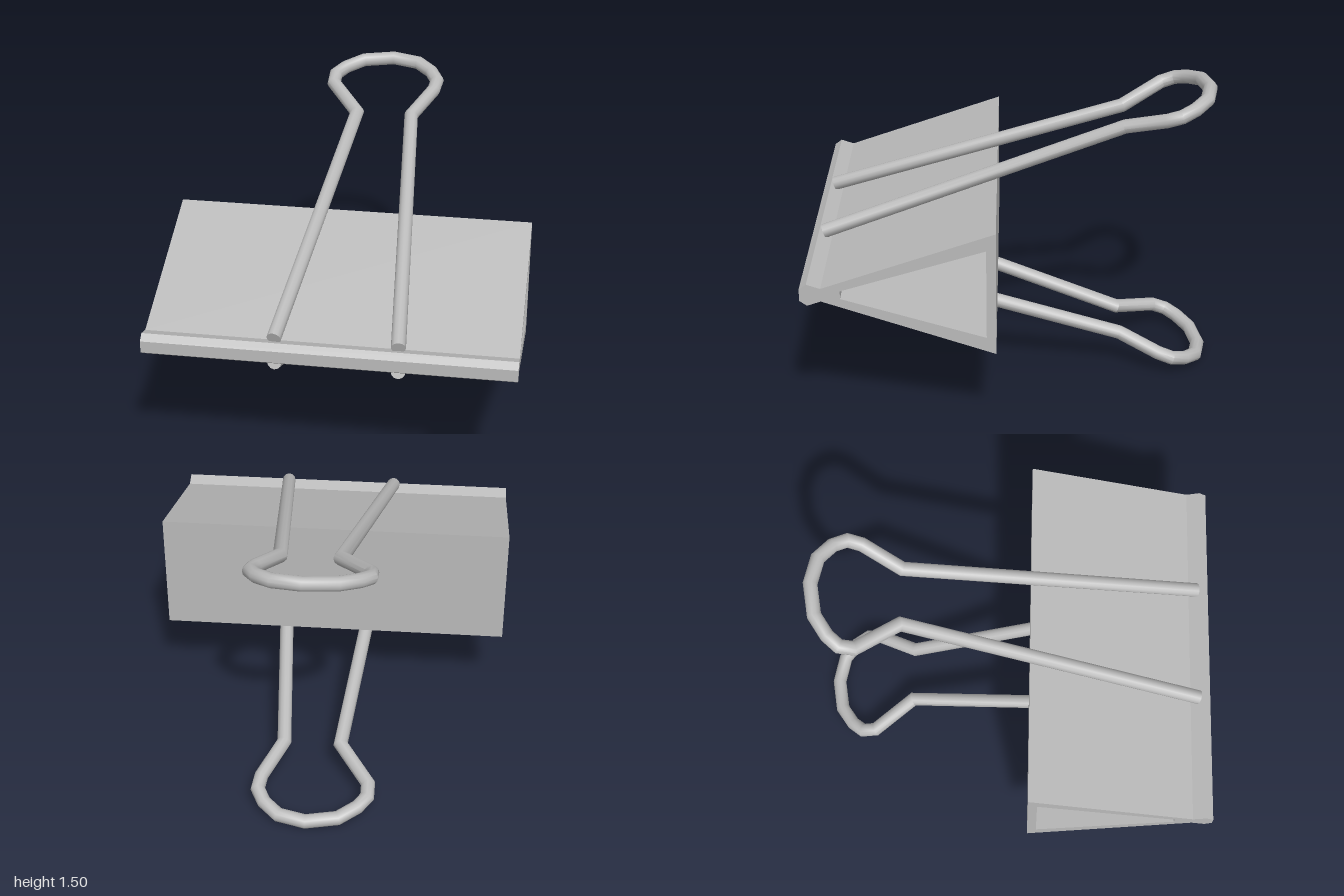
import * as THREE from 'three';
import { toCreasedNormals } from 'three/addons/utils/BufferGeometryUtils.js';

const MID = 0.747; // height of the clip's plane of symmetry
const steel = new THREE.MeshStandardMaterial({ color: 0xbababa });
steel.name = 'grey steel';

// Sweep a mitred round rod along a flat path of [x, d] points, with closed ends
function rod(points, radius, sides) {
  const pts = points.map(([x, d]) => new THREE.Vector2(x, d));
  const pos = [], index = [], last = pts.length - 1;
  pts.forEach((p, i) => {
    const a = pts[Math.max(i - 1, 0)], b = pts[Math.min(i + 1, last)];
    const tin = (i ? p.clone().sub(a) : b.clone().sub(p)).normalize();
    const tout = (i < last ? b.clone().sub(p) : tin.clone()).normalize();
    const t = tin.clone().add(tout).normalize();
    const mitre = radius / t.dot(tin);
    for (let k = 0; k < sides; k++) {
      const q = (k / sides) * Math.PI * 2;
      const n = Math.cos(q) * mitre;
      pos.push(p.x - t.y * n, Math.sin(q) * radius, p.y + t.x * n);
    }
  });
  for (let i = 0; i < last; i++) {
    for (let k = 0; k < sides; k++) {
      const a = i * sides + k, b = i * sides + (k + 1) % sides;
      index.push(a, a + sides, b, b, a + sides, b + sides);
    }
  }
  for (let k = 1; k < sides - 1; k++) {
    const e = last * sides;
    index.push(0, k, k + 1, e, e + k + 1, e + k);
  }
  const g = new THREE.BufferGeometry();
  g.setAttribute('position', new THREE.Float32BufferAttribute(pos, 3));
  g.setIndex(index);
  // make sure the faces point outward
  const v = (i) => new THREE.Vector3().fromArray(pos, i * 3);
  let volume = 0;
  for (let i = 0; i < index.length; i += 3) {
    volume += v(index[i]).dot(v(index[i + 1]).cross(v(index[i + 2])));
  }
  if (volume < 0) g.setIndex(index.reverse());
  return toCreasedNormals(g, 0.7);
}

// Hollow wedge body with a bead along the front, as [z, height above middle]
function makeBody() {
  const half = [[0.085, 0.313], [0.9, 0.033], [0.965, 0.055], [1.0, 0.03]];
  const hole = [[0.13, 0.226], [0.81, 0.02]];
  const mirrored = (list) => [...list, ...list.map(([z, y]) => [z, -y]).reverse()]
    .map(([z, y]) => new THREE.Vector2(-z, y));
  const shape = new THREE.Shape(mirrored(half));
  shape.holes.push(new THREE.Path(mirrored(hole)));
  const g = new THREE.ExtrudeGeometry(shape, { depth: 1.76, bevelEnabled: false });
  g.translate(0, 0, -0.88);
  g.rotateY(Math.PI / 2);
  const body = new THREE.Mesh(g, steel);
  body.name = 'clipBody';
  body.position.y = MID;
  return body;
}

// Wire handle outline seen from above, as [x, z]
const OUTLINE = [
  [-0.257, 0.94], [-0.082, -0.54], [-0.235, -0.745], [-0.235, -0.815],
  [-0.19, -0.872], [-0.098, -0.935], [0.06, -0.962], [0.195, -0.935],
  [0.272, -0.872], [0.31, -0.805], [0.3, -0.735], [0.204, -0.54], [0.325, 0.94],
];
const SLOPE = Math.atan(0.342);

function makeHandle(name, side) {
  // stretch z to lengths along the sloping plane, then tilt it
  const path = OUTLINE.map(([x, z]) => [x, z / Math.cos(SLOPE)]);
  const handle = new THREE.Mesh(rod(path, 0.035, 12), steel);
  handle.name = name;
  handle.rotation.x = side * SLOPE;
  handle.position.y = MID + side * 0.386;
  return handle;
}

export function createModel() {
  const group = new THREE.Group();
  group.name = 'binderClip';
  group.add(makeBody(), makeHandle('upperHandle', 1), makeHandle('lowerHandle', -1));
  return group;
}
